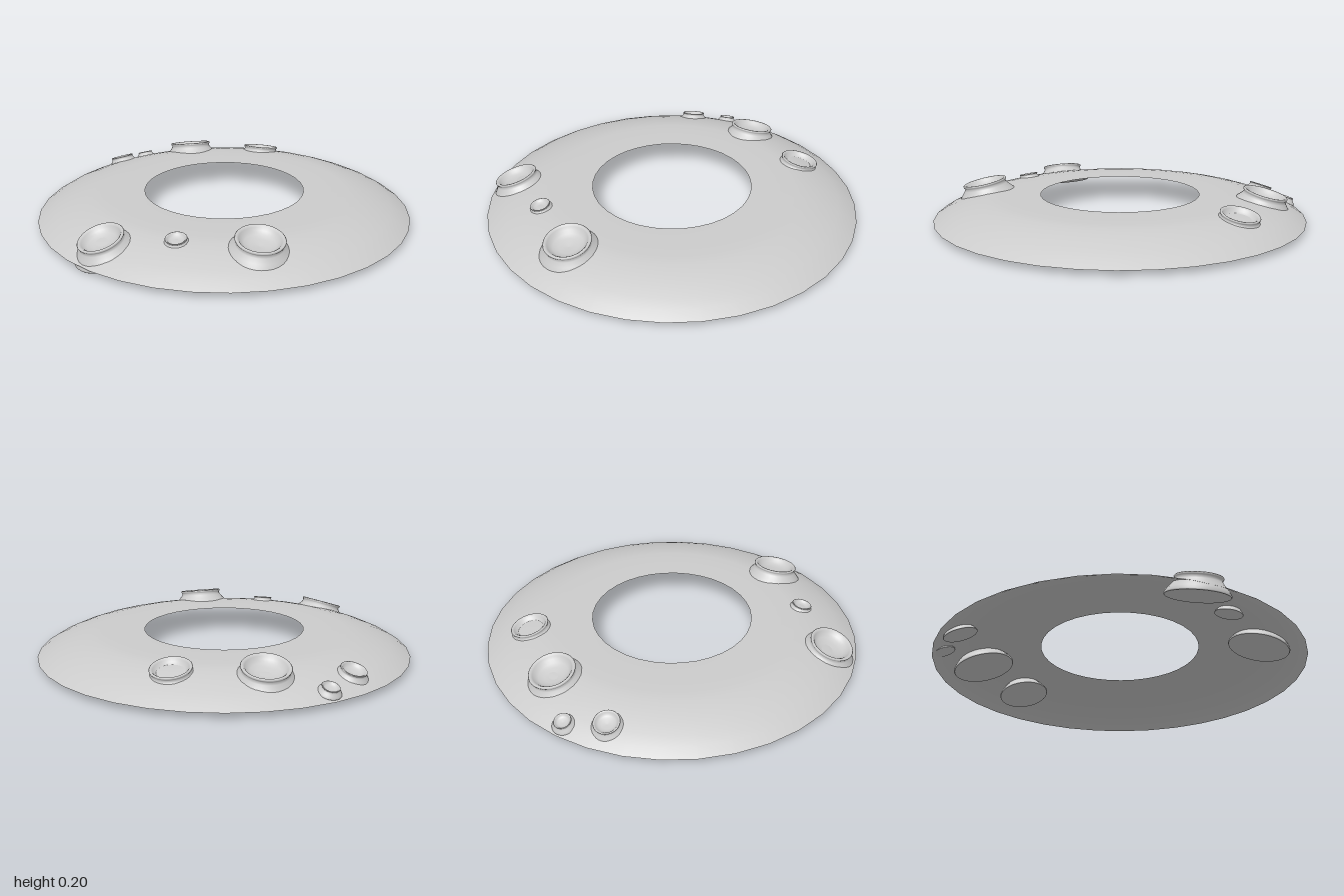
import * as THREE from 'three';

const material = new THREE.MeshStandardMaterial({ color: 0xcccccc, side: THREE.DoubleSide });

const toPoints = (pairs) => pairs.map(([r, y]) => new THREE.Vector2(r, y));

// Thin domed ring: level around the hole, curving down to the outer edge
function makeRing() {
  const profile = toPoints([
    [1, 0.03], [0.95, 0.062], [0.9, 0.085], [0.84, 0.108], [0.78, 0.125],
    [0.72, 0.138], [0.66, 0.145], [0.55, 0.146], [0.43, 0.145],
  ]);
  const ring = new THREE.Mesh(new THREE.LatheGeometry(profile, 36), material);
  ring.name = 'domedRing';
  return ring;
}

// Crater of base radius 1: closed bottom, flared skirt, rolled lip and bowl
const CRATER_HEIGHT = 0.58;
const craterGeometry = new THREE.LatheGeometry(toPoints([
  [0, 0], [0.98, 0], [0.98, 0], [1, 0.04], [0.93, 0.15], [0.82, 0.28], [0.72, 0.4],
  [0.69, 0.47], [0.72, 0.51], [0.735, 0.55], [0.71, 0.58], [0.66, 0.575],
  [0.61, 0.53], [0.56, 0.45], [0.46, 0.38], [0.3, 0.33], [0, 0.3],
]), 32);

// Place a crater by its lip centre; the slopes lean its axis outward
function makeCrater(name, [x, y, z], radius, slopeX, slopeZ) {
  const axis = new THREE.Vector3(slopeX, 1, slopeZ).normalize();
  const crater = new THREE.Mesh(craterGeometry, material);
  crater.name = name;
  crater.quaternion.setFromUnitVectors(new THREE.Vector3(0, 1, 0), axis);
  crater.scale.setScalar(radius);
  crater.position.set(x, y, z).addScaledVector(axis, -CRATER_HEIGHT * radius);
  return crater;
}

export function createModel() {
  const model = new THREE.Group();
  model.name = 'crateredRing';
  model.add(
    makeRing(),
    makeCrater('frontLargeCrater', [0.145, 0.182, 0.755], 0.165, 0.07, 0.2),
    makeCrater('frontSmallCrater', [-0.245, 0.155, 0.68], 0.073, -0.06, 0.2),
    makeCrater('frontEdgeCrater', [-0.605, 0.14, 0.625], 0.16, -0.27, 0.2),
    makeCrater('backLargeCrater', [-0.19, 0.168, -0.76], 0.165, -0.06, -0.25),
    makeCrater('backMediumCrater', [0.25, 0.152, -0.725], 0.14, 0.09, -0.22),
    makeCrater('backSmallCrater', [-0.61, 0.118, -0.65], 0.09, -0.24, -0.25),
    makeCrater('backTinyCrater', [-0.48, 0.09, -0.82], 0.06, -0.2, -0.3),
  );
  return model;
}
